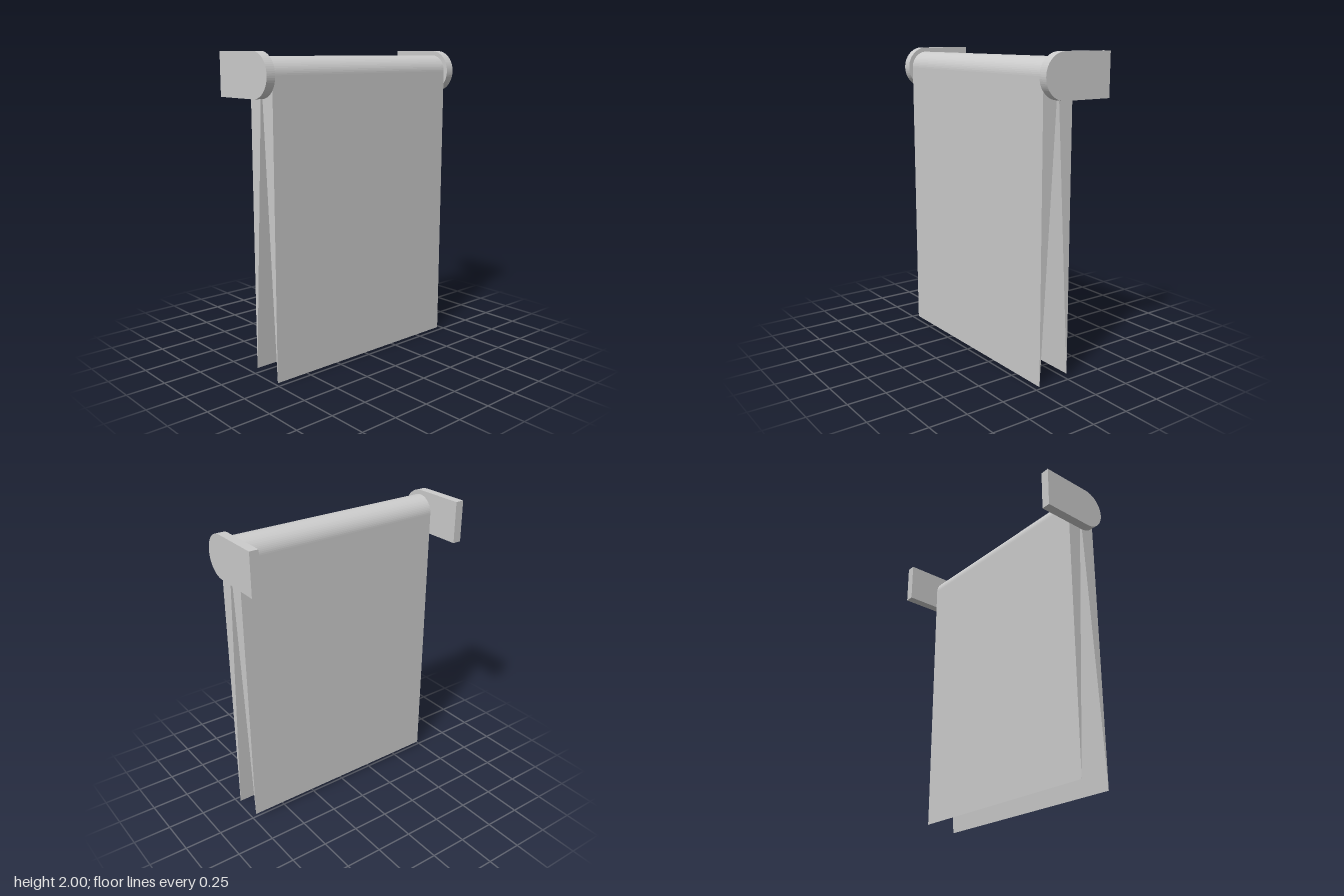
import * as THREE from 'three';

const CX = 0.102, CY = 1.863; // bar axis

export function createModel() {
  const group = new THREE.Group();
  const material = new THREE.MeshStandardMaterial({ color: 0xcccccc });

  // Extrude a front-facing profile along z, starting at z0
  const slab = (name, shape, z0, depth) => {
    const geometry = new THREE.ExtrudeGeometry(shape, { depth, bevelEnabled: false, curveSegments: 16 });
    const mesh = new THREE.Mesh(geometry, material);
    mesh.name = name;
    mesh.position.z = z0;
    group.add(mesh);
  };

  // Wall brackets: flat at the wall, half round around the bar
  const r = 0.137;
  const bracket = new THREE.Shape();
  bracket.moveTo(-0.241, CY - r);
  bracket.lineTo(CX, CY - r);
  bracket.absarc(CX, CY, r, -Math.PI / 2, Math.PI / 2, false);
  bracket.lineTo(-0.241, CY + r);
  bracket.closePath();
  slab('leftBracket', bracket, 0.728, 0.059); // +z end
  slab('rightBracket', bracket, -0.787, 0.059); // -z end

  // Hanging cloth: rounded over the bar, two flaps tapering to thin edges
  const t = 0.108;
  const cloth = new THREE.Shape();
  cloth.moveTo(CX + t, 0);
  cloth.lineTo(CX + t, CY);
  cloth.absarc(CX, CY, t, 0, Math.PI, false);
  cloth.lineTo(CX - t, 0.028);
  cloth.lineTo(CX - 0.002, CY - 0.02);
  cloth.lineTo(CX + 0.002, CY - 0.02);
  cloth.closePath();
  slab('hangingCloth', cloth, -0.728, 1.456);

  return group;
}
